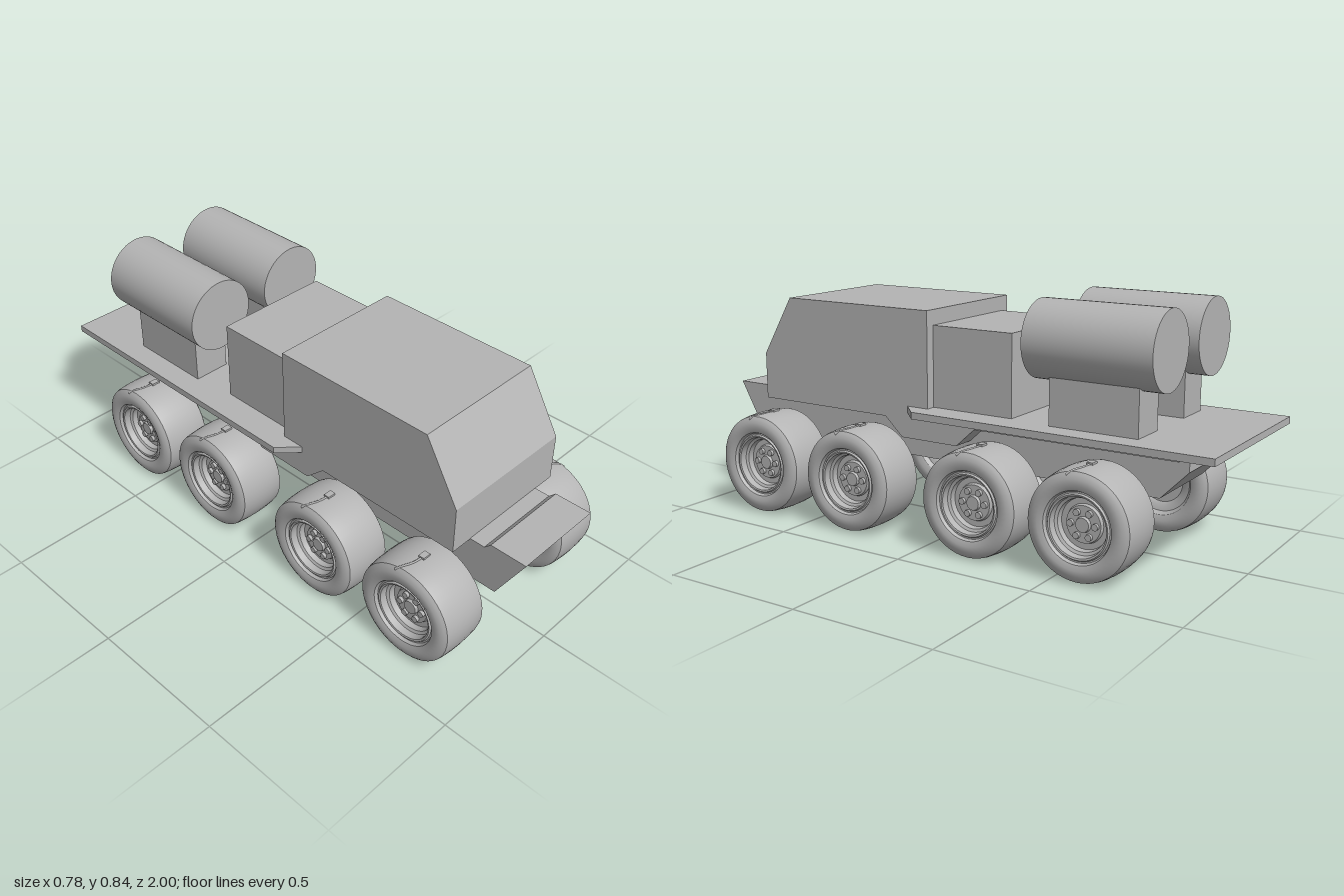
import * as THREE from 'three';
import { toCreasedNormals } from 'three/addons/utils/BufferGeometryUtils.js';

const grey = new THREE.MeshStandardMaterial({ color: 0xb4b4b4 });
grey.name = 'plain grey';

function add(parent, name, geometry, x = 0, y = 0, z = 0) {
  const mesh = new THREE.Mesh(geometry, grey);
  mesh.name = name;
  mesh.position.set(x, y, z);
  parent.add(mesh);
  return mesh;
}

// Side profile of [z, y] points, extruded across the width and centred on x
function sideProfile(points, width) {
  const shape = new THREE.Shape(points.map(([z, y]) => new THREE.Vector2(z, y)));
  return new THREE.ExtrudeGeometry(shape, { depth: width, bevelEnabled: false })
    .translate(0, 0, -width / 2).rotateY(-Math.PI / 2);
}

// Plan outline of [x, z] points, extruded downwards from the top height
function planPlate(points, top, thickness) {
  const shape = new THREE.Shape(points.map(([x, z]) => new THREE.Vector2(x, z)));
  return new THREE.ExtrudeGeometry(shape, { depth: thickness, bevelEnabled: false })
    .rotateX(Math.PI / 2).translate(0, top, 0);
}

// Lathe of [radius, outward offset] points, turned so that outward is +x
function turned(points, segments = 48) {
  const lathe = new THREE.LatheGeometry(points.map(([r, o]) => new THREE.Vector2(r, o)), segments);
  return toCreasedNormals(lathe.rotateZ(-Math.PI / 2), 0.5);
}

// One wheel facing +x, centred on its axle
function makeWheel() {
  const wheel = new THREE.Group();
  wheel.name = 'wheel';
  add(wheel, 'tyre', turned([
    [0.105, -0.075], [0.115, -0.09], [0.135, -0.098], [0.155, -0.096], [0.168, -0.09],
    [0.176, -0.084], [0.179, -0.07], [0.182, -0.035], [0.183, 0], [0.182, 0.035],
    [0.179, 0.07], [0.176, 0.084], [0.168, 0.09], [0.155, 0.096], [0.135, 0.098],
    [0.118, 0.091], [0.113, 0.08], [0.108, 0.08],
  ]));
  add(wheel, 'rim', turned([
    [0, -0.062], [0.075, -0.062], [0.085, -0.07], [0.105, -0.075], [0.108, -0.02],
    [0.108, 0.08], [0.104, 0.086], [0.098, 0.084], [0.095, 0.06], [0.086, 0.055],
    [0.083, 0.035], [0.064, 0.035], [0.06, 0.046], [0.026, 0.046], [0.023, 0.056], [0, 0.056],
  ]));
  for (let i = 0; i < 6; i++) {
    const a = (i + 0.5) * Math.PI / 3;
    add(wheel, 'wheelNut', new THREE.CylinderGeometry(0.011, 0.011, 0.012, 12).rotateZ(-Math.PI / 2),
      0.051, 0.043 * Math.cos(a), 0.043 * Math.sin(a));
  }
  // Air line running over the tread and down the outer wall
  const path = new THREE.CatmullRomCurve3([
    [0, 0.183, 0], [0.04, 0.181, 0.005], [0.078, 0.175, 0.025], [0.09, 0.163, 0.04],
  ].map(p => new THREE.Vector3(...p)));
  add(wheel, 'airLine', new THREE.TubeGeometry(path, 14, 0.004, 6));
  add(wheel, 'airValve', new THREE.BoxGeometry(0.03, 0.01, 0.022), 0, 0.184, 0);
  return wheel;
}

export function createModel() {
  const model = new THREE.Group();
  model.name = 'eightWheeledTruck';

  // Narrow lower hull with raked nose and tail
  add(model, 'lowerHull', sideProfile([
    [1, 0.428], [0.9, 0.253], [-0.765, 0.253], [-0.86, 0.35], [-0.86, 0.426],
    [0.6, 0.426], [0.6, 0.405], [0.845, 0.405], [0.868, 0.428],
  ], 0.334));
  add(model, 'upperHull', new THREE.BoxGeometry(0.5, 0.024, 0.96), 0, 0.414, -0.38);
  add(model, 'midSponson', sideProfile([
    [0.245, 0.41], [0.165, 0.337], [-0.06, 0.337], [-0.14, 0.41],
  ], 0.5));

  // Flat deck with chamfered front corners
  add(model, 'deck', planPlate([
    [-0.318, -1], [0.318, -1], [0.318, 0.075], [0.23, 0.16], [-0.23, 0.16], [-0.318, 0.075],
  ], 0.449, 0.024));

  // Cab and the equipment box behind it
  add(model, 'cab', sideProfile([
    [0.79, 0.403], [0.79, 0.57], [0.663, 0.783], [0.056, 0.783], [0.056, 0.403],
  ], 0.5));
  add(model, 'equipmentBox', new THREE.BoxGeometry(0.43, 0.29, 0.32), 0, 0.585, -0.095);

  for (const side of [1, -1]) {
    // Twin horizontal drums on pedestals
    add(model, 'drumPedestal', new THREE.BoxGeometry(0.136, 0.18, 0.313), side * 0.168, 0.535, -0.563);
    add(model, 'drum', toCreasedNormals(
      new THREE.CylinderGeometry(0.13, 0.13, 0.45, 48).rotateX(Math.PI / 2), 0.5), side * 0.168, 0.717, -0.563);

    for (const z of [0.717, 0.312, -0.192, -0.594]) {
      const wheel = makeWheel();
      wheel.position.set(side * 0.294, 0.186, z);
      if (side < 0) wheel.rotation.y = Math.PI;
      model.add(wheel);
    }
  }
  return model;
}
